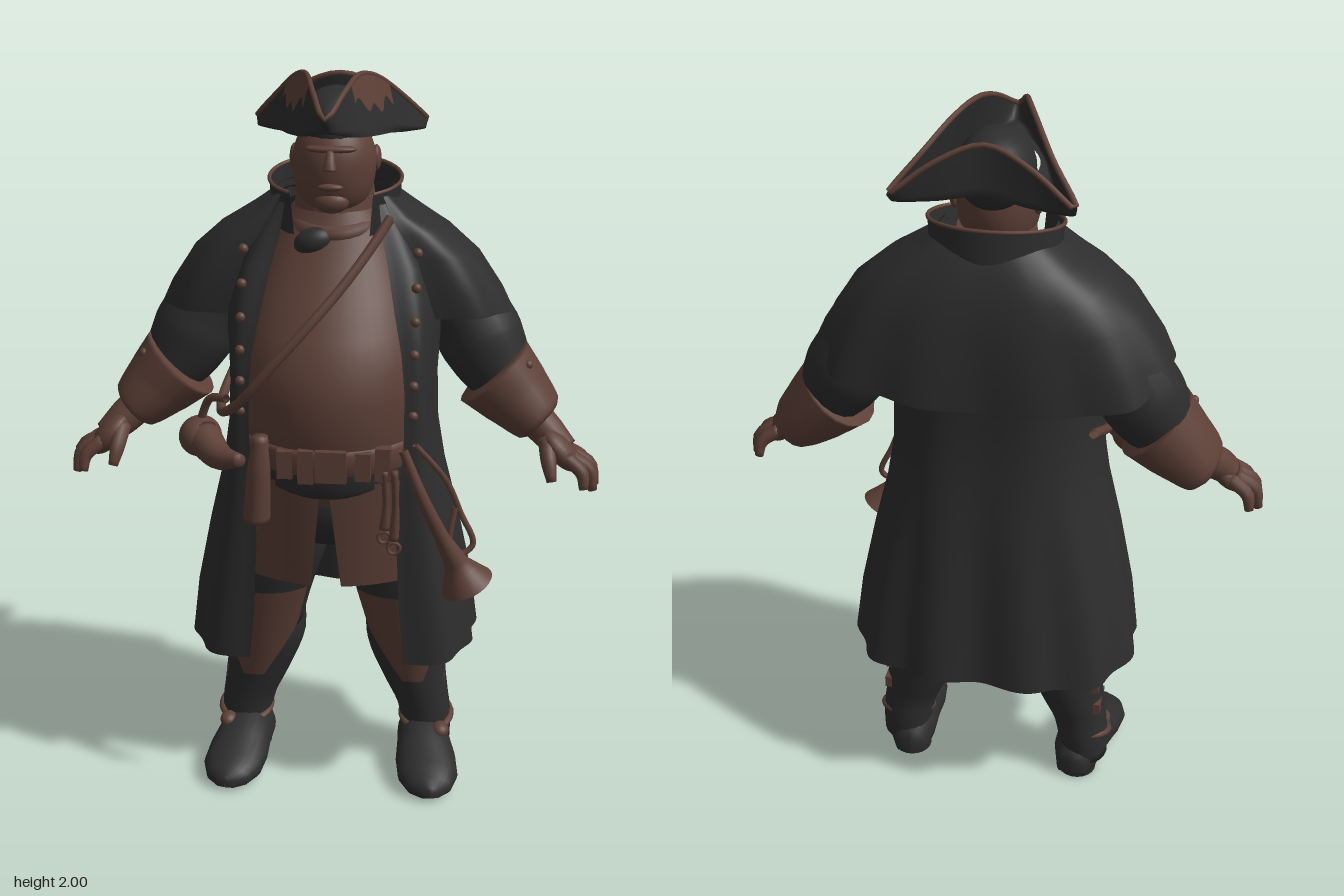
import * as THREE from 'three';
import { mergeVertices } from 'three/addons/utils/BufferGeometryUtils.js';

const V = (p) => new THREE.Vector3(p[0], p[1], p[2]);
const lerp = THREE.MathUtils.lerp;

export function createModel() {
  const root = new THREE.Group();
  const mat = (name, color) => {
    const m = new THREE.MeshStandardMaterial({ color, side: THREE.DoubleSide });
    m.name = name;
    return m;
  };
  const cloth = mat('charcoal cloth', 0x2d2d2d);
  const leather = mat('brown leather', 0x5d4037);

  const add = (name, geo, material, parent = root) => {
    const m = new THREE.Mesh(geo, material);
    m.name = name;
    parent.add(m);
    return m;
  };

  // Skin a grid of points, given as rings of equal length
  const loft = (rings) => {
    const n = rings[0].length, pos = [], idx = [];
    rings.forEach((r) => r.forEach((p) => pos.push(p.x, p.y, p.z)));
    for (let i = 0; i < rings.length - 1; i++) for (let j = 0; j < n - 1; j++) {
      const a = i * n + j, b = a + 1, c = a + n, d = c + 1;
      idx.push(a, b, c, b, d, c);
    }
    let g = new THREE.BufferGeometry();
    g.setAttribute('position', new THREE.Float32BufferAttribute(pos, 3));
    g.setIndex(idx);
    g = mergeVertices(g, 1e-5);
    g.computeVertexNormals();
    return g;
  };
  const surface = (nu, nv, f) => loft(Array.from({ length: nv + 1 }, (_, j) =>
    Array.from({ length: nu + 1 }, (_, i) => f(i / nu, j / nv))));

  // Limb along points [x, y, z, radius, depth stretch]
  const limb = (pts, capped = true, sides = 18, steps = 16) => {
    const curve = new THREE.CatmullRomCurve3(pts.map(V));
    const fr = curve.computeFrenetFrames(steps);
    const rings = [];
    for (let i = 0; i <= steps; i++) {
      const t = (i / steps), c = curve.getPointAt(t);
      const s = curve.getUtoTmapping(t) * (pts.length - 1), k = Math.min(Math.floor(s), pts.length - 2);
      const r = lerp(pts[k][3], pts[k + 1][3], s - k);
      const stretch = lerp(pts[k][4] ?? 1, pts[k + 1][4] ?? 1, s - k);
      const ring = (q) => Array.from({ length: sides + 1 }, (_, j) => {
        const a = ((j % sides) / sides) * Math.PI * 2;
        const p = c.clone().addScaledVector(fr.normals[i], Math.cos(a) * q).addScaledVector(fr.binormals[i], Math.sin(a) * q);
        return p.setZ(lerp(c.z, p.z, stretch));
      });
      if (capped && i === 0) rings.push(ring(0));
      rings.push(ring(r));
      if (capped && i === steps) rings.push(ring(0));
    }
    return loft(rings);
  };
  const cord = (pts, r, closed = false) =>
    new THREE.TubeGeometry(new THREE.CatmullRomCurve3(pts.map(V), closed), 60, r, 8, closed);
  const ball = (name, m, x, y, z, sx, sy, sz, parent = root) => {
    const b = add(name, new THREE.SphereGeometry(1, 24, 16), m, parent);
    b.position.set(x, y, z);
    b.scale.set(sx, sy, sz);
    return b;
  };
  const box = (name, m, x, y, z, w, h, d, parent = root) => {
    const b = add(name, new THREE.BoxGeometry(w, h, d), m, parent);
    b.position.set(x, y, z);
    return b;
  };

  // Garment ring, open at the front: [y, gap, frontZ, halfWidth, backZ, fold, backDrop]
  const garment = (levels, n = 120) => loft(levels.map(([y, g, zf, hw, zb, fold = 0, drop = 0]) => {
    const half = [[g, zf], [lerp(g, hw, 0.55), zf - 0.015], [hw * 0.95, lerp(zf, zb, 0.25)], [hw, lerp(zf, zb, 0.5)],
      [hw * 0.88, lerp(zf, zb, 0.82)], [hw * 0.52, zb + 0.008]];
    const pts = [...half, [0, zb], ...half.slice().reverse().map(([x, z]) => [-x, z])];
    const c = new THREE.CatmullRomCurve3(pts.map(([x, z]) => new THREE.Vector3(x, y, z)));
    return Array.from({ length: n + 1 }, (_, i) => {
      const t = i / n, p = c.getPoint(t), back = Math.sin(Math.PI * t);
      const k = 1 + fold * Math.cos(t * Math.PI * 22) * back;
      return p.set(p.x * k, y - drop * back ** 4, p.z * (p.z < 0 ? k : 1));
    });
  }));
  add('coat', garment([
    [0.44, 0.21, 0.22, 0.395, -0.29, 0.035], [0.6, 0.195, 0.223, 0.375, -0.275, 0.03], [0.8, 0.185, 0.225, 0.335, -0.255, 0.02],
    [0.95, 0.19, 0.225, 0.3, -0.24, 0.008], [1.08, 0.2, 0.225, 0.28, -0.225], [1.22, 0.2, 0.22, 0.275, -0.22],
    [1.32, 0.19, 0.21, 0.28, -0.225], [1.42, 0.17, 0.185, 0.28, -0.23], [1.52, 0.15, 0.14, 0.26, -0.215],
    [1.6, 0.13, 0.095, 0.21, -0.195], [1.67, 0.12, 0.065, 0.15, -0.165]]), cloth);
  add('shoulderCape', garment([
    [1.385, 0.27, 0.105, 0.467, -0.262, 0.025, 0.1], [1.45, 0.25, 0.11, 0.437, -0.257, 0.018, 0.09],
    [1.54, 0.22, 0.105, 0.375, -0.245, 0.006, 0.06], [1.6, 0.18, 0.095, 0.3, -0.225, 0, 0.03],
    [1.64, 0.155, 0.085, 0.22, -0.2], [1.69, 0.13, 0.06, 0.15, -0.165]]), cloth);

  // Standing collar, tall behind and falling open to the front
  const collarPoint = (u, v) => {
    const a = lerp(0.62, Math.PI * 2 - 0.62, u), back = (1 - Math.cos(a)) / 2, r = lerp(0.158, lerp(0.175, 0.15, back), v);
    return new THREE.Vector3(Math.sin(a) * r * 1.05, lerp(1.58 + 0.07 * back, 1.695 + 0.05 * back, v), -0.045 + Math.cos(a) * r * 0.9);
  };
  add('collar', surface(40, 4, collarPoint), cloth);
  add('collarTrim', cord(Array.from({ length: 17 }, (_, i) => collarPoint(i / 16, 1).toArray()), 0.005), leather);

  // Closed body ring: [y, halfWidth, frontZ, backZ]
  const bodyLoft = (levels) => loft(levels.map(([y, hw, zf, zb]) => Array.from({ length: 49 }, (_, i) => {
    const a = ((i % 48) / 48) * Math.PI * 2;
    return new THREE.Vector3(Math.sin(a) * hw, y, (zf + zb) / 2 + Math.cos(a) * (zf - zb) / 2);
  })));
  add('waistcoat', bodyLoft([
    [0.9, 0.225, 0.22, -0.19], [1, 0.235, 0.27, -0.19], [1.1, 0.245, 0.3, -0.19], [1.2, 0.25, 0.31, -0.19], [1.28, 0.25, 0.295, -0.19],
    [1.36, 0.235, 0.255, -0.18], [1.44, 0.21, 0.198, -0.16], [1.52, 0.18, 0.145, -0.15], [1.59, 0.15, 0.1, -0.14], [1.65, 0.11, 0.075, -0.13]]), leather);
  add('sash', bodyLoft([[0.945, 0.225, 0.275, -0.18], [0.97, 0.235, 0.292, -0.18], [1.015, 0.238, 0.298, -0.18]]), cloth);
  add('belt', bodyLoft([[1.01, 0.243, 0.285, -0.18], [1.02, 0.248, 0.305, -0.18], [1.075, 0.25, 0.312, -0.18], [1.085, 0.245, 0.298, -0.18]]), leather);
  box('buckle', leather, 0.02, 1.05, 0.308, 0.08, 0.085, 0.018);
  [-0.1, -0.045, 0.1, 0.15].forEach((x, i) => box('beltPouch', leather, x, 1.045, 0.298 - x * x * 1.6, 0.04, 0.075 + 0.015 * (i % 2), 0.03));
  ball('hips', cloth, 0, 0.88, 0, 0.23, 0.17, 0.2);
  ball('neckerchief', cloth, -0.045, 1.578, 0.088, 0.052, 0.036, 0.035).rotation.z = 0.35;
  add('neckScarf', new THREE.TorusGeometry(0.1, 0.025, 10, 32).rotateX(Math.PI / 2 + 0.25), leather).position.set(0, 1.62, -0.015);

  // Head with a broad, heavy jaw
  const skull = new THREE.SphereGeometry(1, 36, 28);
  const sp = skull.attributes.position;
  for (let i = 0; i < sp.count; i++) {
    const y = sp.getY(i), jaw = y < 0 ? Math.max(1 - y * y, 0.01) ** -0.24 : 1;
    sp.setXYZ(i, sp.getX(i) * 0.107 * jaw, y * 0.125, sp.getZ(i) * 0.115 * jaw);
  }
  skull.computeVertexNormals();
  add('head', skull, leather).position.set(0, 1.768, 0);
  add('neck', new THREE.CylinderGeometry(0.1, 0.12, 0.16, 24), leather).position.set(0, 1.62, -0.03);
  add('nose', limb([[0, 1.81, 0.105, 0.01], [0, 1.785, 0.12, 0.014], [0, 1.765, 0.125, 0.018]], true, 12, 8), leather);
  ball('brow', leather, 0, 1.815, 0.088, 0.065, 0.012, 0.024);
  ball('lips', leather, 0, 1.722, 0.108, 0.032, 0.01, 0.014);
  ball('chin', leather, 0, 1.68, 0.082, 0.045, 0.03, 0.03);

  // Three-cornered hat: band, fold and upper edge curves joined into a turned-up brim
  ball('hatCrown', cloth, 0, 1.85, -0.035, 0.098, 0.1, 0.13);
  const closedCurve = (half) => new THREE.CatmullRomCurve3(
    [...half, ...half.slice(1, -1).reverse().map(([x, y, z]) => [-x, y, z])].map(V), true, 'centripetal');
  const fold = closedCurve([[0, 1.875, 0.205], [0.06, 1.856, 0.145], [0.108, 1.842, 0.05], [0.14, 1.832, -0.04], [0.175, 1.82, -0.12], [0.222, 1.815, -0.2], [0.12, 1.82, -0.195], [0, 1.835, -0.18]]);
  const edge = closedCurve([[0, 1.915, 0.238], [0.038, 1.965, 0.15], [0.066, 1.992, 0.045], [0.102, 1.975, -0.04], [0.155, 1.92, -0.13], [0.228, 1.835, -0.215], [0.12, 1.915, -0.195], [0, 1.96, -0.17]]);
  const band = closedCurve([[0, 1.87, 0.115], [0.055, 1.865, 0.085], [0.1, 1.86, 0.01], [0.103, 1.85, -0.05], [0.09, 1.848, -0.1], [0.07, 1.845, -0.13], [0.04, 1.845, -0.145], [0, 1.845, -0.15]]);
  const brim = (u, v) => {
    const f = fold.getPoint(u);
    return v < 0.4 ? band.getPoint(u).lerp(f, v / 0.4) : f.lerp(edge.getPoint(u), (v - 0.4) / 0.6);
  };
  add('hatBrim', surface(112, 10, brim), cloth);
  add('hatTrim', cord(Array.from({ length: 56 }, (_, i) => edge.getPoint(i / 56).toArray()), 0.007, true), leather);
  [[0.095, 0.25], [0.75, 0.905]].forEach(([a, b]) => add('hatPatch', surface(24, 6, (u, v) => {
    const low = 0.64 + 0.06 * Math.sin(u * 17) + 0.3 * Math.abs(u - 0.5);
    const p = brim(lerp(a, b, u), lerp(Math.min(low, 0.98), 1, v));
    return p.add(new THREE.Vector3(Math.sign(p.x) * 0.005, 0, 0.002));
  }), leather));

  // Limbs and paired coat details, mirrored
  for (const s of [1, -1]) {
    const g = new THREE.Group();
    g.name = s > 0 ? 'leftSide' : 'rightSide';
    g.scale.x = s;
    root.add(g);
    add('sleeve', limb([[0.22, 1.49, -0.085, 0.08], [0.3, 1.415, -0.085, 0.102], [0.355, 1.34, -0.08, 0.11], [0.385, 1.285, -0.075, 0.116],
      [0.42, 1.225, -0.065, 0.104], [0.46, 1.17, -0.05, 0.085]]), cloth, g);
    add('cuff', limb([[0.422, 1.198, -0.052, 0.119], [0.48, 1.14, -0.047, 0.102, 1.1], [0.548, 1.075, -0.035, 0.074, 1.38], [0.556, 1.068, -0.033, 0.06, 1.35]]), leather, g);
    [-0.055, 0.005].forEach((z) => ball('cuffButton', leather, 0.513, 1.236, z, 0.013, 0.013, 0.013, g));
    add('wrist', limb([[0.53, 1.09, -0.01, 0.05], [0.575, 1.05, 0.015, 0.046], [0.62, 1.01, 0.035, 0.036]]), leather, g);
    ball('palm', leather, 0.608, 1.015, 0.043, 0.034, 0.072, 0.06, g).rotation.z = 0.72;
    [[0.68, 0.93, -0.018], [0.702, 0.913, 0.03], [0.696, 0.915, 0.077], [0.67, 0.93, 0.113]].forEach(([x, y, z], i) =>
      add('finger', limb([[0.62, 1.008, 0.006 + i * 0.025, 0.02], [lerp(0.645, x, 0.75), 0.972, lerp(0.006 + i * 0.025, z, 0.6), 0.018], [x, y, z, 0.012]], true, 10, 8), leather, g));
    add('thumb', limb([[0.57, 1.045, 0.055, 0.024], [0.576, 1.0, 0.105, 0.021], [0.585, 0.955, 0.128, 0.013]], true, 10, 8), leather, g);
    ball('ear', leather, 0.105, 1.77, -0.03, 0.013, 0.034, 0.024, g);

    // Waistcoat skirt flap and coat buttons
    add('waistcoatFlap', surface(12, 8, (u, v) => {
      const x = lerp(lerp(0.01, 0.04, v), lerp(0.2, 0.225, v), u);
      return new THREE.Vector3(x, lerp(0.985, 0.675, v), lerp(0.28, 0.235, v) - x * x * 1.5);
    }), leather, g);
    [[1.56, 0.12], [1.48, 0.16], [1.4, 0.19], [1.32, 0.212], [1.24, 0.222], [1.16, 0.225]].forEach(([y, z]) =>
      ball('coatButton', leather, 0.222, y, z - 0.009, 0.013, 0.013, 0.012, g));

    // Legs and boots
    add('breeches', limb([[0.11, 0.92, 0, 0.13], [0.145, 0.75, 0.005, 0.138], [0.18, 0.6, -0.01, 0.125], [0.2, 0.46, -0.035, 0.11]]), cloth, g);
    add('boot', limb([[0.198, 0.49, -0.045, 0.112], [0.2, 0.4, -0.053, 0.112], [0.222, 0.3, -0.057, 0.094], [0.25, 0.2, -0.057, 0.076],
      [0.262, 0.13, -0.06, 0.073], [0.268, 0.05, -0.06, 0.066]]), cloth, g);
    add('kneeGuard', surface(14, 10, (u, v) => {
      const a = (u - 0.5) * 2 * lerp(1.0, 0.3, Math.max(0, v - 0.45) / 0.55) + 0.05, r = lerp(0.14, 0.1, v);
      return new THREE.Vector3(lerp(0.182, 0.222, v) + Math.sin(a) * r, lerp(0.59, 0.29, v), lerp(-0.012, -0.05, v) + Math.cos(a) * r);
    }), leather, g);
    [[0.41, 0.3], [0.33, 0.3], [0.255, 0.306]].forEach(([y, x]) => box('bootStrap', leather, x, y, -0.07, 0.02, 0.035, 0.09, g));
    add('ankleStrap', new THREE.TorusGeometry(0.07, 0.011, 8, 28).rotateX(Math.PI / 2 + 0.3), leather, g).position.set(0.264, 0.135, -0.052);
    const foot = new THREE.Group();
    foot.name = 'foot';
    foot.position.set(0.26, 0, 0);
    foot.rotation.y = 0.14;
    g.add(foot);
    add('shoe', loft([[-0.135, 0.001, 0.06], [-0.132, 0.045, 0.09], [-0.08, 0.068, 0.14], [0, 0.076, 0.145], [0.07, 0.086, 0.115], [0.14, 0.085, 0.088],
      [0.19, 0.062, 0.068], [0.215, 0.024, 0.048], [0.217, 0.001, 0.035]].map(([z, w, h]) => Array.from({ length: 25 }, (_, i) => {
      const a = ((i % 24) / 24) * Math.PI * 2;
      return new THREE.Vector3(Math.cos(a) * w, Math.max(0.015, h * (0.45 + 0.55 * Math.sin(a))), z);
    }))), cloth, foot);
    ball('instepBuckle', leather, 0.045, 0.118, 0.02, 0.025, 0.022, 0.03, foot);
    add('heel', new THREE.CylinderGeometry(0.058, 0.055, 0.04, 20), cloth, foot).position.set(0, 0.02, -0.075);
  }

  // Shoulder strap with powder flask on the right hip
  add('shoulderStrap', cord([[0.15, 1.64, 0.075], [0.11, 1.58, 0.115], [0.04, 1.49, 0.18], [-0.05, 1.39, 0.24], [-0.14, 1.29, 0.262], [-0.22, 1.19, 0.238],
    [-0.28, 1.13, 0.15], [-0.298, 1.13, 0.02], [-0.275, 1.19, -0.14]], 0.013), leather);
  ball('flaskBody', leather, -0.345, 1.05, 0.125, 0.057, 0.054, 0.065);
  add('flaskNeck', limb([[-0.335, 1.05, 0.14, 0.05], [-0.28, 1.03, 0.215, 0.036], [-0.215, 1.045, 0.275, 0.016]]), leather);
  add('flaskHanger', cord([[-0.345, 1.09, 0.12], [-0.315, 1.16, 0.14], [-0.26, 1.185, 0.2]], 0.011), leather);

  // Knife sheath and small tools on the belt
  add('knifeSheath', limb([[-0.165, 1.11, 0.262, 0.02], [-0.17, 1.02, 0.262, 0.03], [-0.18, 0.87, 0.25, 0.036]]), leather);
  [0.155, 0.18].forEach((x, i) => {
    add('tool', limb([[x, 1.03, 0.272, 0.01], [x + 0.004, 0.93, 0.262, 0.009], [x, 0.86 - i * 0.03, 0.255, 0.014]], true, 10), leather);
    add('toolRing', new THREE.TorusGeometry(0.016, 0.005, 6, 18), leather).position.set(x, 0.835 - i * 0.03, 0.255);
  });

  // Signal horn hanging at the left hip
  add('horn', limb([[0.2, 1.08, 0.25, 0.012], [0.25, 0.95, 0.245, 0.016], [0.305, 0.82, 0.215, 0.02], [0.345, 0.735, 0.19, 0.034], [0.372, 0.675, 0.18, 0.073]], false, 24, 28), leather);
  add('hornCord', cord([[0.23, 1.09, 0.235], [0.31, 0.98, 0.2], [0.35, 0.88, 0.18], [0.385, 0.79, 0.18], [0.35, 0.765, 0.19], [0.325, 0.8, 0.2], [0.335, 0.9, 0.19]], 0.008), leather);

  return root;
}
